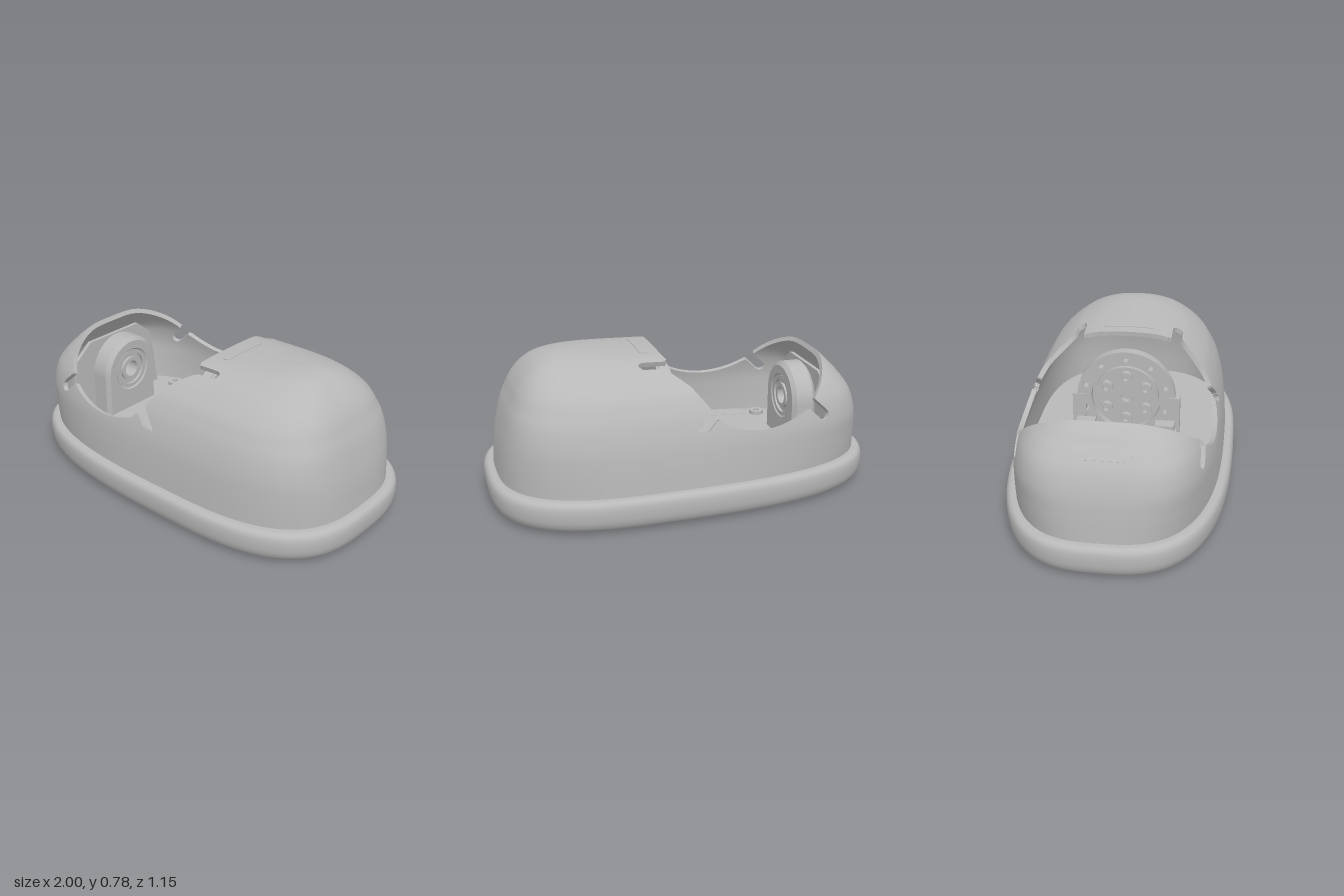
import * as THREE from 'three';

const V = (x, y, z) => new THREE.Vector3(x, y, z);
const grey = new THREE.MeshStandardMaterial({ color: 0xb8b8b8 });
grey.name = 'plain grey';

function add(parent, name, geometry, x = 0, y = 0, z = 0) {
  const mesh = new THREE.Mesh(geometry, grey);
  mesh.name = name;
  mesh.position.set(x, y, z);
  parent.add(mesh);
  return mesh;
}

// Rounded ring, widest at 60% of its length; n sets how square the narrow end is
function ringPoint(xL, yL, xR, yR, b, n, theta) {
  const c = Math.cos(theta), s = Math.sin(theta), e = 2 / (c < 0 ? n : (n + 2.9) / 2);
  const cx = xL + (xR - xL) * 0.6;
  const x = cx + Math.sign(c) * Math.abs(c) ** e * (c < 0 ? cx - xL : xR - cx);
  const t = (x - xL) / (xR - xL);
  return V(x, yL + (yR - yL) * t, b * Math.sign(s) * Math.abs(s) ** e);
}

// Closed loft through a stack of rings
function loft(levels, sides, ringAt) {
  const pos = [], index = [];
  for (let i = 0; i <= levels; i++) {
    const r = ringAt(i / levels);
    for (let j = 0; j < sides; j++) pos.push(...ringPoint(...r, (j / sides) * Math.PI * 2).toArray());
  }
  for (let i = 0; i < levels; i++) for (let j = 0; j < sides; j++) {
    const k = (j + 1) % sides, a = i * sides + j, b = a + sides, c = (i + 1) * sides + k, d = i * sides + k;
    index.push(a, b, c, a, c, d);
  }
  const g = new THREE.BufferGeometry();
  g.setAttribute('position', new THREE.Float32BufferAttribute(pos, 3));
  g.setIndex(index);
  g.computeVertexNormals();
  return g;
}

// Dome levels: left x, left y, right x, right y, half width, squareness
const LEVELS = [
  [-0.951, 0.16, 0.951, 0.16, 0.526, 2.9], [-0.94, 0.3, 0.938, 0.3, 0.514, 3.3], [-0.925, 0.4, 0.92, 0.4, 0.499, 3.7],
  [-0.89, 0.5, 0.893, 0.5, 0.469, 4], [-0.85, 0.56, 0.868, 0.56, 0.44, 4], [-0.815, 0.6, 0.843, 0.615, 0.408, 4],
  [-0.78, 0.64, 0.805, 0.67, 0.357, 4], [-0.73, 0.68, 0.757, 0.717, 0.297, 3.8], [-0.62, 0.7, 0.715, 0.743, 0.242, 3.4],
  [-0.4, 0.717, 0.672, 0.76, 0.19, 3], [-0.05, 0.737, 0.63, 0.77, 0.132, 2.6], [0.25, 0.757, 0.59, 0.774, 0.075, 2.3],
  [0.548, 0.776, 0.55, 0.776, 0.001, 2],
];

// Distance to a rounded slot between two points of a plane
function slot(px, py, ax, ay, bx, by, r) {
  const dx = bx - ax, dy = by - ay;
  const t = THREE.MathUtils.clamp(((px - ax) * dx + (py - ay) * dy) / (dx * dx + dy * dy), 0, 1);
  return Math.hypot(px - ax - dx * t, py - ay - dy * t) - r;
}

// Positive where the dome remains: scooped opening, side slots and top slots
function domeKeep(p) {
  const u = p.x + 0.31;
  const edge = u < -0.25 ? 0.49 - (u + 0.25) * 1.056
    : u > 0.23 ? 0.49 + (u - 0.23) * 1.25
      : 0.869 - Math.sqrt(0.454 ** 2 - u * u);
  return Math.min(edge - p.y,
    slot(p.x, p.y, -0.06, 0.52, 0.015, 0.443, 0.027),
    slot(p.x, p.y, -0.56, 0.52, -0.645, 0.44, 0.027),
    slot(p.x, Math.abs(p.z), 0.05, 0.255, 0.238, 0.255, 0.026));
}

// Trim a surface by a rule and give it an outer skin, inner skin and edge wall
function trimmedShell(group, name, base, keep, outerOffset, innerOffset) {
  const P = base.attributes.position, N = base.attributes.normal, idx = base.index.array;
  const verts = [];
  for (let i = 0; i < P.count; i++) {
    const p = V().fromBufferAttribute(P, i);
    verts.push({ p, n: V().fromBufferAttribute(N, i), f: keep(p) });
  }
  const skins = [[], []], normals = [[], []], wall = [];
  const at = (v, d) => v.p.clone().addScaledVector(v.n, d);
  const emit = (side, v, d) => {
    skins[side].push(...at(v, d).toArray());
    normals[side].push(...v.n.clone().multiplyScalar(side ? -1 : 1).toArray());
  };
  for (let i = 0; i < idx.length; i += 3) {
    const poly = [];
    let exit, entry;
    for (let k = 0; k < 3; k++) {
      const a = verts[idx[i + k]], b = verts[idx[i + (k + 1) % 3]];
      if (a.f >= 0) poly.push(a);
      if ((a.f >= 0) !== (b.f >= 0)) {
        const t = a.f / (a.f - b.f);
        const m = { p: a.p.clone().lerp(b.p, t), n: a.n.clone().lerp(b.n, t).normalize() };
        poly.push(m);
        if (a.f >= 0) exit = m; else entry = m;
      }
    }
    for (let k = 1; k + 1 < poly.length; k++) {
      for (const v of [poly[0], poly[k], poly[k + 1]]) emit(0, v, outerOffset);
      for (const v of [poly[0], poly[k + 1], poly[k]]) emit(1, v, innerOffset);
    }
    if (exit && entry) {
      const a = at(entry, outerOffset), b = at(exit, outerOffset);
      const c = at(exit, innerOffset), d = at(entry, innerOffset);
      for (const v of [a, b, c, a, c, d]) wall.push(...v.toArray());
    }
  }
  const make = (part, pos, nor) => {
    const g = new THREE.BufferGeometry();
    g.setAttribute('position', new THREE.Float32BufferAttribute(pos, 3));
    if (nor) g.setAttribute('normal', new THREE.Float32BufferAttribute(nor, 3));
    else g.computeVertexNormals();
    add(group, name + part, g);
  };
  make('Outside', skins[0], normals[0]);
  make('Inside', skins[1], normals[1]);
  make('Edge', wall);
}

// Plate drawn in the z-y plane and thickened along x
function plate(shape, depth, bevel = 0) {
  return new THREE.ExtrudeGeometry(shape, {
    depth, curveSegments: 32, bevelEnabled: bevel > 0, bevelSize: bevel, bevelThickness: bevel, bevelOffset: -bevel, bevelSegments: 1,
  }).rotateY(Math.PI / 2);
}
const hole = (x, y, r) => new THREE.Path().absarc(x, y, r, 0, Math.PI * 2, true);
function disc(r, inner = 0) {
  const s = new THREE.Shape().absarc(0, 0, r, 0, Math.PI * 2);
  if (inner) s.holes.push(hole(0, 0, inner));
  return s;
}

export function createModel() {
  const model = new THREE.Group();
  model.name = 'domedHousing';

  // Rounded base lip: inset and height of each ring
  const lip = [[0.085, 0], [0.05, 0.007], [0.022, 0.025], [0.006, 0.055], [0, 0.09], [0, 0.13], [0.007, 0.154], [0.022, 0.167], [0.045, 0.17]];
  const lipCurve = new THREE.CatmullRomCurve3(lip.map(([i, y]) => V(i, y, 0)));
  const lipRing = (i, y) => [-1 + i, y, 1 - i, y, 0.575 - i, 2.9];
  add(model, 'baseLip', loft(24, 160, (t) => {
    const p = lipCurve.getPoint(t);
    return lipRing(p.x, p.y);
  }));
  const cap = (i) => new THREE.ShapeGeometry(new THREE.Shape(Array.from({ length: 160 }, (_, j) => {
    const p = ringPoint(...lipRing(i, 0), (j / 160) * Math.PI * 2);
    return new THREE.Vector2(p.x, p.z);
  })));
  add(model, 'underside', cap(0.085).rotateX(Math.PI / 2));
  add(model, 'floor', cap(0.045).rotateX(-Math.PI / 2), 0, 0.17);

  // Dome shell with its opening
  const left = new THREE.CatmullRomCurve3(LEVELS.map((r) => V(r[0], r[1], r[4])));
  const right = new THREE.CatmullRomCurve3(LEVELS.map((r) => V(r[2], r[3], r[5] / 10)));
  const domeRing = (t) => {
    const l = left.getPoint(t), r = right.getPoint(t);
    return [l.x, l.y, r.x, r.y, l.z, r.z * 10];
  };
  trimmedShell(model, 'shell', loft(84, 320, domeRing), domeKeep, 0, -0.025);

  // Long pill-shaped pads on the dome, either side of the opening
  const fineDome = loft(400, 480, domeRing);
  for (const [name, x] of [['wideEndPad', 0.205], ['narrowEndPad', -0.84]]) {
    trimmedShell(model, name, fineDome, (p) => -slot(p.x, p.z, x, -0.115, x, 0.115, 0.021), 0.003, -0.002);
  }

  // Bulkhead and arched bearing block at the narrow end
  const bulkhead = new THREE.Shape([[-0.33, 0.17], [0.33, 0.17], [0.28, 0.5], [0.18, 0.58], [-0.18, 0.58], [-0.28, 0.5]]
    .map(([x, y]) => new THREE.Vector2(x, y)));
  add(model, 'bulkhead', plate(bulkhead, 0.02), -0.74);
  const bearing = new THREE.Group();
  bearing.name = 'bearingBlock';
  model.add(bearing);
  const arch = new THREE.Shape().moveTo(-0.185, 0.15).lineTo(0.185, 0.15).lineTo(0.185, 0.4)
    .absarc(0, 0.4, 0.185, 0, Math.PI).lineTo(-0.185, 0.15);
  arch.holes.push(hole(0, 0.4, 0.1));
  add(bearing, 'bearingArch', plate(arch, 0.09, 0.02), -0.7);
  add(bearing, 'bearingOuterRing', plate(disc(0.112, 0.09), 0.085), -0.68, 0.4);
  add(bearing, 'bearingSeal', plate(disc(0.091, 0.066), 0.07), -0.68, 0.4);
  add(bearing, 'bearingInnerRing', plate(disc(0.067, 0.045), 0.085), -0.68, 0.4);

  // Drive mount at the wide end: drilled ring, hub and screws
  const mount = new THREE.Group();
  mount.name = 'driveMount';
  model.add(mount);
  const ring = disc(0.26, 0.185);
  for (let i = 0; i < 10; i++) {
    const a = ((i + 0.5) / 10) * Math.PI * 2;
    ring.holes.push(hole(Math.cos(a) * 0.222, Math.sin(a) * 0.222, 0.018));
  }
  add(mount, 'mountRing', plate(ring, 0.05), 0.06, 0.4);
  add(mount, 'mountBacking', plate(disc(0.255), 0.02), 0.105, 0.4);
  add(mount, 'driveHub', plate(disc(0.17, 0.03), 0.04), 0.07, 0.4);
  for (let i = 0; i < 6; i++) {
    const a = ((i + 0.5) / 6) * Math.PI * 2;
    add(mount, 'hubScrew', plate(disc(0.032, 0.016), 0.04), 0.04, 0.4 + Math.sin(a) * 0.12, Math.cos(a) * 0.12);
  }
  add(mount, 'mountFoot', new THREE.BoxGeometry(0.08, 0.06, 0.54), 0.02, 0.2);
  for (const s of [-1, 1]) {
    add(mount, 'mountPost', new THREE.BoxGeometry(0.06, 0.24, 0.07), 0.085, 0.29, s * 0.25);
    add(mount, 'footStep', new THREE.BoxGeometry(0.07, 0.05, 0.1), 0.02, 0.255, s * 0.21);
  }

  // Screw bosses and raised seam lines on the floor
  for (const s of [-1, 1]) {
    add(model, 'floorBoss', new THREE.ExtrudeGeometry(disc(0.04, 0.016), { depth: 0.025, bevelEnabled: false, curveSegments: 20 })
      .rotateX(-Math.PI / 2), -0.6, 0.165, s * 0.355);
    const path = new THREE.CatmullRomCurve3([[-0.56, 0.355], [-0.3, 0.395], [-0.05, 0.42], [0.04, 0.41], [0.08, 0.37]]
      .map(([x, z]) => V(x, 0.17, z * s)));
    add(model, 'floorSeam', new THREE.TubeGeometry(path, 40, 0.006, 6));
  }
  return model;
}
